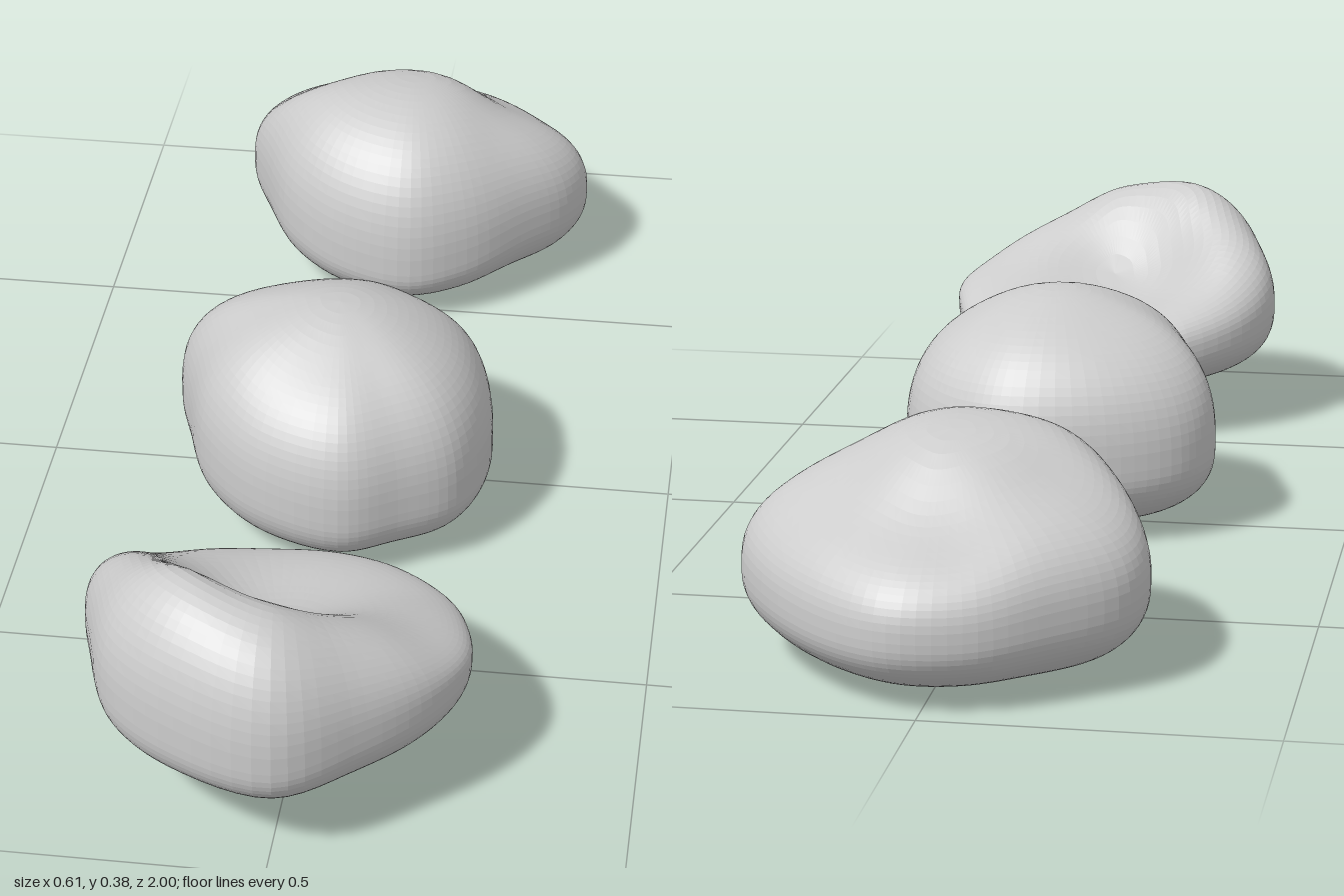
import * as THREE from 'three';

const material = new THREE.MeshStandardMaterial({ color: 0xcccccc, flatShading: true });

// Smooth height field through a few [x, z, y] control points
function heightAt(points, x, z) {
  let sum = 0, total = 0;
  for (const [px, pz, py] of points) {
    const d2 = (x - px) ** 2 + (z - pz) ** 2;
    const w = Math.exp(-d2 / 0.013) + 1e-4 / (d2 + 0.01);
    sum += w * py;
    total += w;
  }
  return sum / total;
}

// A sphere reshaped to a plan outline (widest line, [x, y, z]), a top height field and a flat base
function rock(name, { centre, outline, top, base, power = 0.8 }) {
  const curve = new THREE.CatmullRomCurve3(outline.map(p => new THREE.Vector3(...p)), true);
  const geo = new THREE.SphereGeometry(1, 80, 44);
  const pos = geo.attributes.position, uv = geo.attributes.uv;
  const [cx, cz] = centre;
  for (let i = 0; i < pos.count; i++) {
    const lat = Math.asin(THREE.MathUtils.clamp(pos.getY(i), -1, 1));
    const rim = curve.getPoint((2 - uv.getX(i)) % 1);
    const rho = Math.max(0, Math.cos(lat)) ** power;
    const rise = Math.abs(Math.sin(lat)) ** power;
    const x = cx + (rim.x - cx) * rho, z = cz + (rim.z - cz) * rho;
    const end = lat > 0 ? heightAt(top, x, z) : base;
    pos.setXYZ(i, x, rim.y + (end - rim.y) * rise, z);
  }
  geo.computeVertexNormals();
  const mesh = new THREE.Mesh(geo, material);
  mesh.name = name;
  return mesh;
}

export function createModel() {
  const group = new THREE.Group();
  group.name = 'rocks';

  // Wedge-shaped rock, sloping down towards the back
  group.add(rock('backRock', {
    centre: [0, -0.72], base: 0.003,
    outline: [
      [0.04, 0.11, -1], [0.14, 0.11, -0.95], [0.245, 0.12, -0.845], [0.305, 0.13, -0.73],
      [0.285, 0.13, -0.65], [0.21, 0.13, -0.565], [0.12, 0.11, -0.485], [0.02, 0.1, -0.445],
      [-0.105, 0.11, -0.475], [-0.195, 0.13, -0.545], [-0.25, 0.14, -0.65], [-0.288, 0.14, -0.755],
      [-0.27, 0.13, -0.835], [-0.17, 0.12, -0.925], [-0.07, 0.11, -0.985],
    ],
    top: [
      [-0.2, -0.6, 0.36], [0, -0.58, 0.36], [0.2, -0.6, 0.33], [0, -0.5, 0.35], [0, -0.72, 0.34],
      [-0.2, -0.85, 0.28], [0, -0.93, 0.235], [0.2, -0.85, 0.25], [0.25, -0.7, 0.28],
    ],
  }));

  // Rounded rock
  group.add(rock('middleRock', {
    centre: [-0.02, 0.07], base: 0.003, power: 0.78,
    outline: [
      [0.02, 0.11, -0.175], [0.115, 0.11, -0.135], [0.19, 0.13, -0.06], [0.222, 0.12, 0.095],
      [0.185, 0.12, 0.215], [0.1, 0.12, 0.275], [0.01, 0.12, 0.318], [-0.13, 0.13, 0.28],
      [-0.22, 0.14, 0.195], [-0.26, 0.14, 0.09], [-0.288, 0.14, -0.02], [-0.25, 0.13, -0.095],
      [-0.14, 0.12, -0.155],
    ],
    top: [
      [0, 0.05, 0.385], [-0.18, 0.05, 0.36], [0.15, 0.08, 0.34], [0, 0.25, 0.33], [0, -0.09, 0.34],
      [0.13, -0.05, 0.33], [-0.18, -0.08, 0.33],
    ],
  }));

  // Hollowed rock, high at the front and low at the back
  group.add(rock('frontRock', {
    centre: [-0.02, 0.72], base: 0.066,
    outline: [
      [0, 0.135, 0.44], [0.11, 0.14, 0.465], [0.2, 0.16, 0.545], [0.245, 0.19, 0.65],
      [0.258, 0.2, 0.74], [0.22, 0.2, 0.83], [0.13, 0.19, 0.92], [0.01, 0.18, 0.998],
      [-0.15, 0.19, 0.955], [-0.245, 0.2, 0.88], [-0.285, 0.21, 0.78], [-0.308, 0.2, 0.67],
      [-0.27, 0.18, 0.585], [-0.15, 0.15, 0.485],
    ],
    top: [
      [-0.16, 0.86, 0.445], [0, 0.89, 0.42], [-0.26, 0.85, 0.42], [-0.25, 0.7, 0.37], [0.12, 0.85, 0.34],
      [0.21, 0.72, 0.26], [0, 0.72, 0.23], [-0.08, 0.64, 0.195], [0.15, 0.55, 0.22], [0, 0.5, 0.215],
      [-0.2, 0.55, 0.26],
    ],
  }));

  return group;
}
